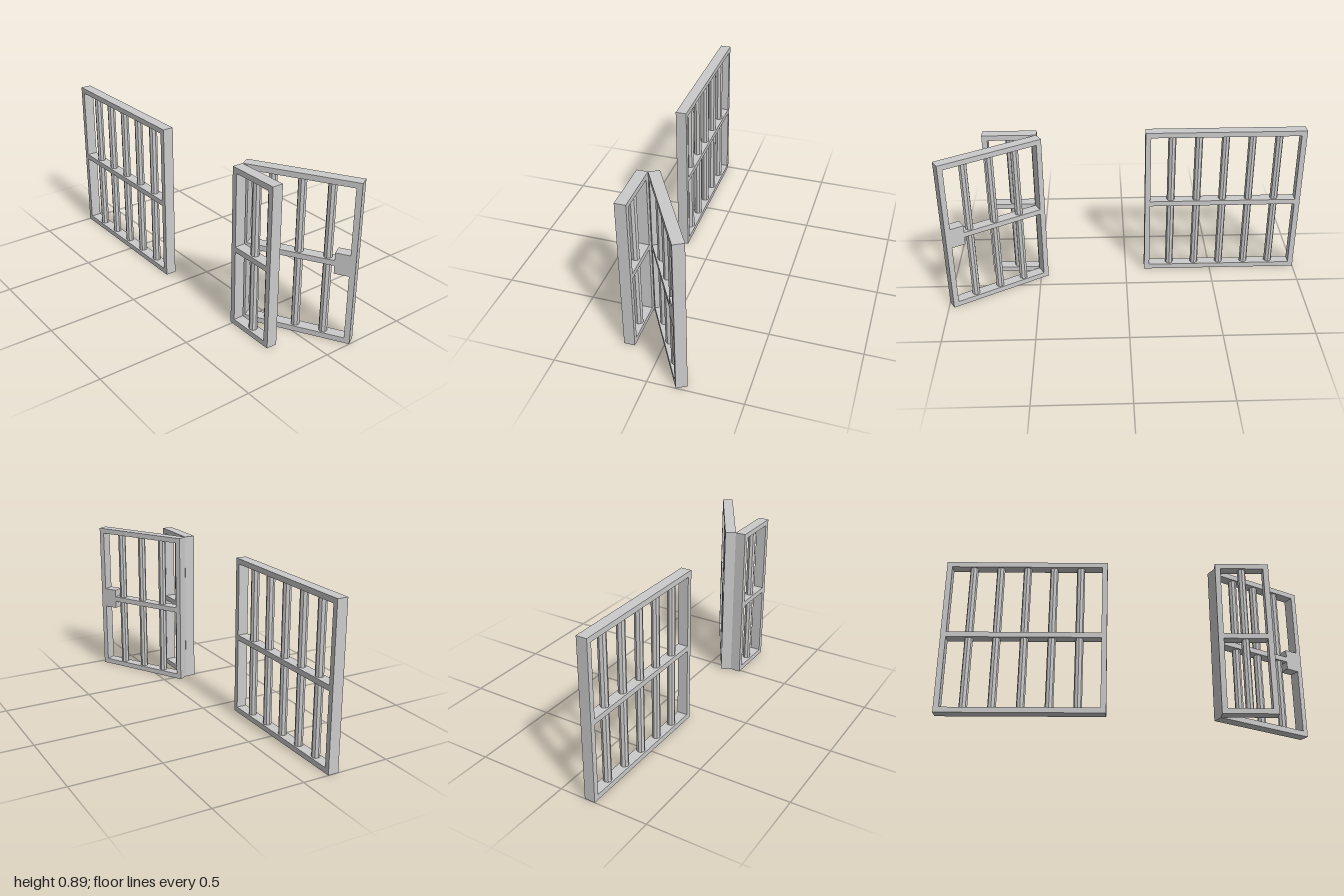
import * as THREE from 'three';

const UNIT = 0.2965;       // one bay of two bar spacings
const HEIGHT = 0.89;
const BORDER = 0.0297;     // width of frame members
const DEPTH = 0.0593;
const BAR_RADIUS = 0.0225;
const MID = HEIGHT / 2;

const material = new THREE.MeshStandardMaterial({ color: 0xcccccc, flatShading: true, side: THREE.DoubleSide });

// Opening between the middle rail and the top (side = 1) or bottom (side = -1) rail,
// with a corner cut out where the lock plate sits
function opening(width, side, lock) {
  const near = MID + side * BORDER / 2;
  const far = MID + side * (MID - BORDER);
  const left = BORDER, right = width - BORDER;
  const points = [[left, far], [left, near]];
  if (lock) {
    const plateX = width - 0.106, plateY = MID + side * 0.058;
    points.push([plateX, near], [plateX, plateY], [right, plateY]);
  } else {
    points.push([right, near]);
  }
  points.push([right, far]);
  return new THREE.Path(points.map(([x, y]) => new THREE.Vector2(x, y)));
}

// Barred panel starting at x = 0 and centred on z = 0
function barredPanel(name, bays, lock = false) {
  const panel = new THREE.Group();
  panel.name = name;
  const width = bays * UNIT;

  // Frame, middle rail and lock plate in one slab
  const shape = new THREE.Shape([[0, 0], [width, 0], [width, HEIGHT], [0, HEIGHT]]
    .map(([x, y]) => new THREE.Vector2(x, y)));
  shape.holes.push(opening(width, 1, lock), opening(width, -1, lock));
  const slab = new THREE.ExtrudeGeometry(shape, { depth: DEPTH, bevelEnabled: false });
  slab.translate(0, 0, -DEPTH / 2);
  const frame = new THREE.Mesh(slab, material);
  frame.name = 'frame';
  panel.add(frame);

  // Eight-sided upright bars
  const barGeometry = new THREE.CylinderGeometry(BAR_RADIUS, BAR_RADIUS, HEIGHT - 2 * BORDER, 8);
  for (let i = 1; i < bays * 2; i++) {
    const bar = new THREE.Mesh(barGeometry, material);
    bar.name = 'bar';
    bar.position.set(i * UNIT / 2, MID, 0);
    panel.add(bar);
  }
  return panel;
}

export function createModel() {
  const model = new THREE.Group();
  model.name = 'cellBars';

  const wide = barredPanel('widePanel', 3);
  wide.position.set(-1, 0, 0.1745);

  const narrow = barredPanel('narrowPanel', 1);
  narrow.position.set(0.486, 0, 0.1745);

  // Door swung open behind the narrow panel
  const door = barredPanel('door', 2, true);
  door.position.set(0.4717, 0, 0.119);
  door.rotation.y = Math.PI / 6;

  model.add(wide, narrow, door);
  return model;
}
